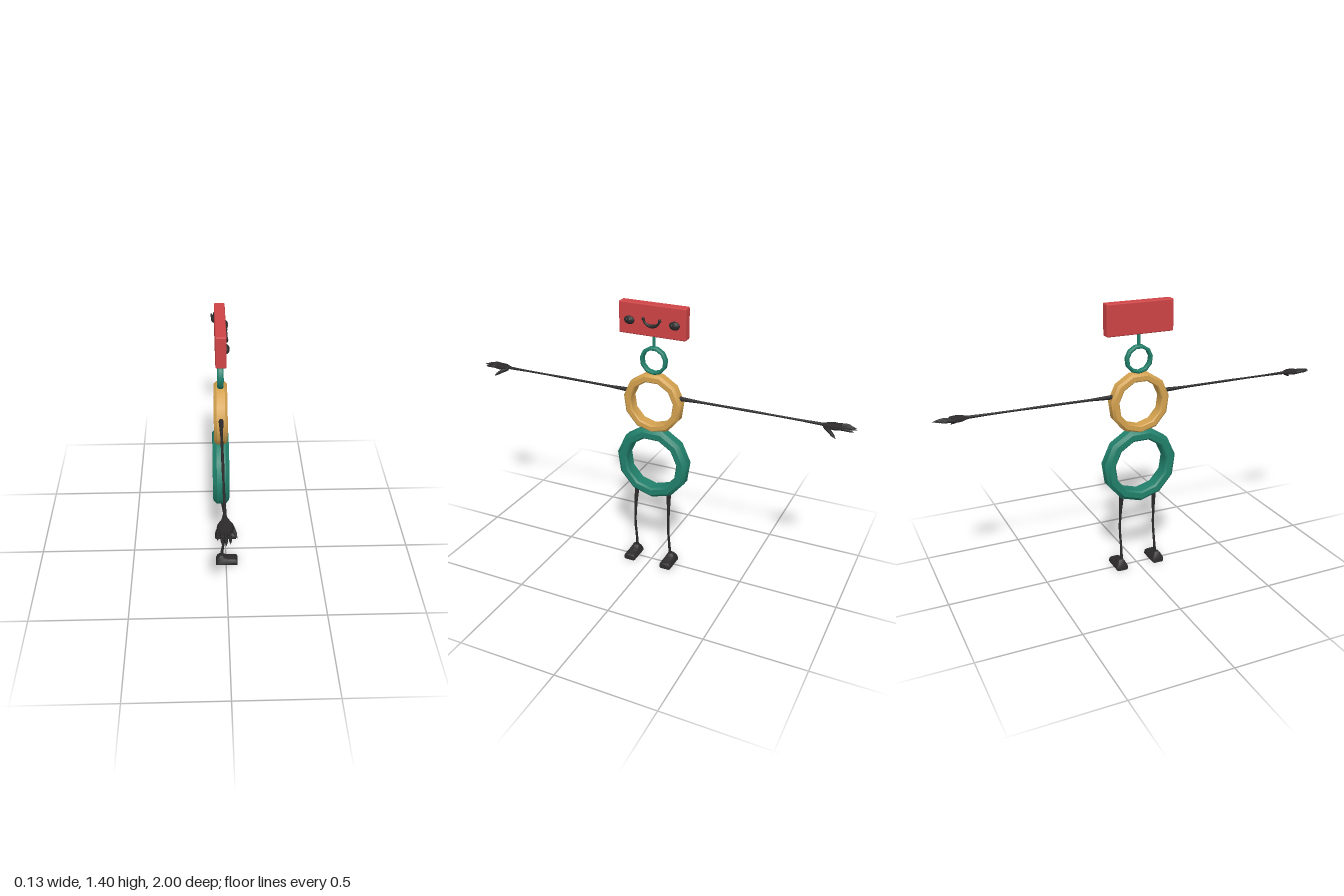
import * as THREE from 'three';
import { toCreasedNormals } from 'three/addons/utils/BufferGeometryUtils.js';
import { RoundedBoxGeometry } from 'three/addons/geometries/RoundedBoxGeometry.js';

const material = (name, color) => Object.assign(new THREE.MeshStandardMaterial({ color }), { name });
const CX = -0.025; // centre plane of the body, which faces +x

// Tapered limb swept through points; radii are spread evenly along it
function limb(points, radii, sides = 8) {
  const curve = new THREE.CatmullRomCurve3(points.map(p => new THREE.Vector3(...p)));
  const steps = (radii.length - 1) * 4;
  const geo = new THREE.TubeGeometry(curve, steps, 1, sides);
  const pos = geo.attributes.position;
  const v = new THREE.Vector3();
  for (let i = 0; i <= steps; i++) {
    const centre = curve.getPointAt(i / steps);
    const k = Math.min(Math.floor(i / 4), radii.length - 2);
    const r = THREE.MathUtils.lerp(radii[k], radii[k + 1], i / 4 - k);
    for (let j = 0; j <= sides; j++) {
      const n = i * (sides + 1) + j;
      v.fromBufferAttribute(pos, n).sub(centre).multiplyScalar(r).add(centre);
      pos.setXYZ(n, v.x, v.y, v.z);
    }
  }
  return geo;
}

// Eleven-sided ring with chamfered rims, its axis along x
function ring(outer, inner, width, bevel) {
  const h = width / 2, b = bevel;
  const profile = [
    [outer - b, -h], [outer, -h + b], [outer, h - b], [outer - b, h],
    [inner + b / 2, h], [inner, h - b / 2], [inner, -h + b / 2], [inner + b / 2, -h], [outer - b, -h],
  ].map(p => new THREE.Vector2(...p));
  const geo = new THREE.LatheGeometry(profile, 11, Math.PI / 2);
  geo.rotateZ(-Math.PI / 2);
  return toCreasedNormals(geo, 0.7);
}

function footGeometry() {
  const s = new THREE.Shape();
  s.moveTo(-0.055, 0);
  s.lineTo(0.062, 0);
  s.lineTo(0.062, 0.02);
  s.quadraticCurveTo(0.06, 0.034, 0.045, 0.034);
  s.lineTo(0.005, 0.035);
  s.quadraticCurveTo(-0.01, 0.042, -0.016, 0.053);
  s.lineTo(-0.034, 0.053);
  s.quadraticCurveTo(-0.054, 0.03, -0.055, 0);
  const geo = new THREE.ExtrudeGeometry(s, {
    depth: 0.044, bevelThickness: 0.01, bevelSize: 0.007, bevelOffset: -0.007, bevelSegments: 2, curveSegments: 5,
  });
  geo.translate(0, 0, -0.022);
  // Narrow the foot towards the ankle
  const pos = geo.attributes.position;
  for (let i = 0; i < pos.count; i++) {
    const t = THREE.MathUtils.clamp((pos.getY(i) - 0.018) / 0.035, 0, 1);
    pos.setZ(i, pos.getZ(i) * (1 - 0.55 * t));
  }
  return toCreasedNormals(geo, 0.7);
}

export function createModel() {
  const red = material('red', 0xcf4446);
  const green = material('green', 0x21806b);
  const gold = material('gold', 0xd4a24f);
  const black = material('black', 0x2c2a2b);
  const grey = material('grey', 0x6a6a6a);

  const model = new THREE.Group();
  model.name = 'ringFigure';
  const add = (name, geo, mat, x = 0, y = 0, z = 0, parent = model) => {
    const mesh = new THREE.Mesh(geo, mat);
    mesh.name = name;
    mesh.position.set(x, y, z);
    parent.add(mesh);
    return mesh;
  };

  // Body rings
  add('hipRing', ring(0.195, 0.14, 0.08, 0.018), green, CX, 0.574);
  add('chestRing', ring(0.156, 0.115, 0.064, 0.012), gold, CX, 0.9);
  add('neckRing', ring(0.072, 0.055, 0.03, 0.006), green, CX, 1.118);
  add('neck', new THREE.CylinderGeometry(0.008, 0.008, 0.08, 10), green, CX, 1.215);

  // Head and face
  add('head', new RoundedBoxGeometry(0.05, 0.156, 0.346, 2, 0.006), red, CX, 1.322);
  const smile = Array.from({ length: 9 }, (_, i) => {
    const a = (i / 8 - 0.5) * Math.PI * 0.94;
    return [0.003, 1.33 - Math.cos(a) * 0.034, Math.sin(a) * 0.042];
  });
  add('mouth', limb(smile, [0.005, 0.007, 0.01, 0.007, 0.005]), black);
  for (const s of [-1, 1]) {
    add('mouthCorner', new THREE.SphereGeometry(0.008, 10, 8), black, 0.003, 1.328, s * 0.042);
    const eye = add('eye', new THREE.SphereGeometry(1, 18, 12), black, 0, 1.313, s * 0.117);
    eye.scale.set(0.015, 0.021, 0.027);
    for (const d of [-1, 1]) {
      const glint = add('eyeGlint', new THREE.SphereGeometry(1, 8, 6), grey, 0.0125, 1.318, s * 0.117 + d * 0.008);
      glint.scale.set(0.003, 0.003, 0.004);
    }
  }

  for (const s of [-1, 1]) {
    // Arm
    const arm = new THREE.Group();
    arm.name = s > 0 ? 'rightArm' : 'leftArm';
    arm.position.set(CX, 0.946, 0);
    model.add(arm);
    add('armTube', limb([[0, -0.002, s * 0.135], [0, 0, s * 0.5], [0, 0, s * 0.85]],
      [0.012, 0.0065, 0.006, 0.0065, 0.005, 0.0055, 0.008]), black, 0, 0, 0, arm);

    // Hand: flat palm, four fingers and a thumb dropping forward
    const palm = limb([[0, 0, s * 0.825], [0.0, 0, s * 0.88], [-0.004, 0, s * 0.94]],
      [0.007, 0.018, 0.031, 0.034, 0.03, 0]);
    palm.scale(1, 0.4, 1);
    add('palm', palm, black, 0, 0, 0, arm);
    [[-0.03, 0.968], [-0.015, 0.99], [0.001, 1.0], [0.017, 0.985]].forEach(([x, tip], i) => {
      const root = x * 0.75 - 0.003;
      const y = i === 3 ? -0.004 : 0;
      add('finger', limb([[root, y, s * 0.905], [x, y + 0.003, s * 0.945], [x * 1.05, y, s * tip]],
        [0.008, 0.0075, 0.007, 0.006, 0]), black, 0, 0, 0, arm);
    });
    add('thumb', limb([[0.008, -0.002, s * 0.85], [0.03, -0.017, s * 0.88], [0.047, -0.04, s * 0.913]],
      [0.01, 0.011, 0.009, 0.007, 0]), black, 0, 0, 0, arm);

    // Leg and foot
    add('leg', limb([[-0.014, 0.41, s * 0.09], [-0.004, 0.3, s * 0.094], [-0.001, 0.2, s * 0.095],
      [-0.014, 0.12, s * 0.095], [-0.026, 0.03, s * 0.097]],
      [0.013, 0.009, 0.0065, 0.0065, 0.0065, 0.009]), black);
    add('foot', footGeometry(), black, 0, 0, s * 0.103);
  }
  return model;
}
